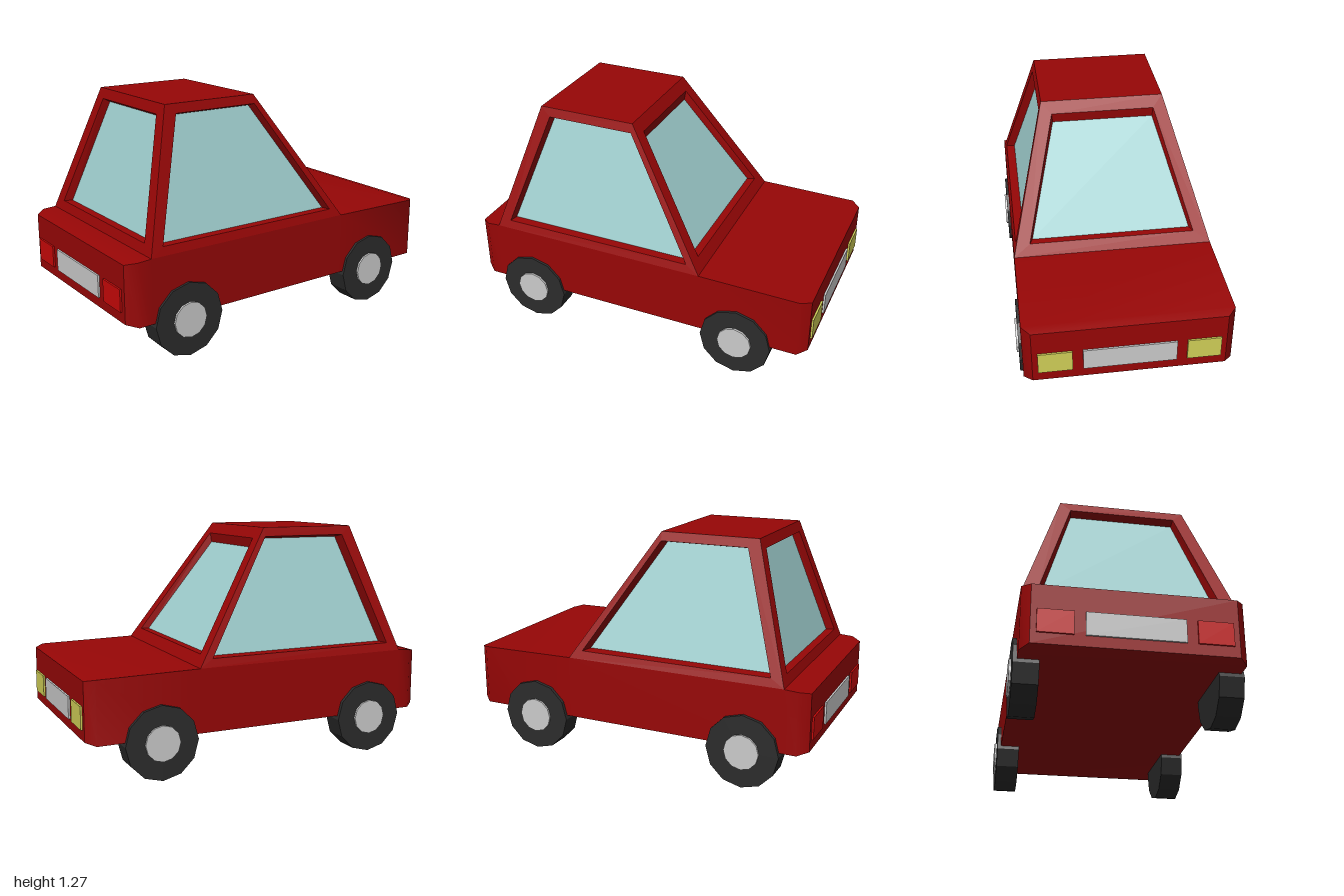
import * as THREE from 'three';
import { toCreasedNormals } from 'three/addons/utils/BufferGeometryUtils.js';

const mat = (color, flatShading = true) => new THREE.MeshStandardMaterial({ color, flatShading });
const red = mat(0x980606), softRed = mat(0x980606, false), glass = mat(0xa0cfcf);
const tyreMat = mat(0x2c2c2c), grey = mat(0xcccccc), yellow = mat(0xd2d058), tailRed = mat(0xc80808);

// Corner loops run bottom-left, bottom-right, top-right, top-left as seen from outside.
const strip = (outer, inner) => outer.map((p, i) => {
  const j = (i + 1) % outer.length;
  return [p, outer[j], inner[j], inner[i]];
});

function quadMesh(name, quads, material) {
  const pos = quads.flatMap(([a, b, c, d]) => [a, b, c, a, c, d].flat());
  const geo = new THREE.BufferGeometry();
  geo.setAttribute('position', new THREE.Float32BufferAttribute(pos, 3));
  geo.computeVertexNormals();
  const mesh = new THREE.Mesh(geo, material);
  mesh.name = name;
  return mesh;
}

// One cabin wall: frame around the opening, recessed reveal and pane
function wall(name, face, hole, pane) {
  const g = new THREE.Group();
  g.name = name;
  g.add(quadMesh(name + 'Frame', [...strip(face, hole), ...strip(hole, pane)], red));
  g.add(quadMesh(name + 'Glass', [pane], glass));
  return g;
}

function box(name, material, size, at) {
  const m = new THREE.Mesh(new THREE.BoxGeometry(...size), material);
  m.name = name;
  m.position.set(...at);
  return m;
}

// Lower body: rectangular sections swept along x, narrowed at both ends, corners softly shaded
function lowerBody() {
  const sections = [ // x, bottom, top, half width
    [-0.99, 0.235, 0.547, 0.505], [-0.935, 0.22, 0.56, 0.55], [-0.86, 0.22, 0.565, 0.55],
    [0.38, 0.22, 0.565, 0.55], [0.94, 0.22, 0.558, 0.55], [0.99, 0.235, 0.547, 0.505],
  ];
  const rings = sections.map(([x, b, t, w]) => [[x, b, w], [x, b, -w], [x, t, -w], [x, t, w]]);
  const quads = [rings[rings.length - 1], [...rings[0]].reverse()];
  for (let i = 1; i < rings.length; i++) quads.push(...strip(rings[i - 1], rings[i]));
  const mesh = quadMesh('lowerBody', quads, softRed);
  mesh.geometry = toCreasedNormals(mesh.geometry, 0.78);
  return mesh;
}

function cabin() {
  const g = new THREE.Group();
  g.name = 'cabin';
  const yb = 0.565, yt = 1.27, wb = 0.55, wt = 0.34;
  const rb = -0.86, rt = -0.64, fb = 0.38, ft = -0.09;

  // Points on the outer cabin planes at a given height
  const lerp = (a, b, y) => a + (b - a) * (y - yb) / (yt - yb);
  const sideZ = (y) => lerp(wb, wt, y);
  const frontX = (y) => lerp(fb, ft, y);
  const rearX = (y) => lerp(rb, rt, y);

  // Side windows
  const sideLoop = (x0, x1, x2, x3, y0, y1, inset) => [
    [x0, y0, sideZ(y0) - inset], [x1, y0, sideZ(y0) - inset],
    [x2, y1, sideZ(y1) - inset], [x3, y1, sideZ(y1) - inset]];
  const sideLoops = (inset) => [
    sideLoop(rb, fb, ft, rt, yb, yt, 0),
    sideLoop(-0.784, 0.303, -0.093, -0.583, 0.61, 1.221, 0),
    sideLoop(-0.775, 0.29, -0.1, -0.577, 0.61, 1.207, inset)];
  const mirror = (loop) => loop.map(([x, y, z]) => [x, y, -z]).reverse();
  g.add(wall('rightSide', ...sideLoops(0.05)), wall('leftSide', ...sideLoops(0.072).map(mirror)));

  // Windscreen and rear window
  const endLoop = (xAt, s, y0, y1, w0, w1, inset) => [
    [xAt(y0) - s * inset, y0, s * w0], [xAt(y0) - s * inset, y0, -s * w0],
    [xAt(y1) - s * inset, y1, -s * w1], [xAt(y1) - s * inset, y1, s * w1]];
  g.add(wall('windscreen',
    endLoop(frontX, 1, yb, yt, wb, wt, 0),
    endLoop(frontX, 1, 0.623, 1.21, 0.459, 0.285, 0),
    endLoop(frontX, 1, 0.623, 1.157, 0.442, 0.28, 0.042)));
  g.add(wall('rearWindow',
    endLoop(rearX, -1, yb, yt, wb, wt, 0),
    endLoop(rearX, -1, 0.617, 1.215, 0.459, 0.285, 0),
    endLoop(rearX, -1, 0.617, 1.195, 0.44, 0.28, 0.045)));

  g.add(quadMesh('roof', [[[rt, yt, wt], [ft, yt, wt], [ft, yt, -wt], [rt, yt, -wt]]], red));
  return g;
}

function wheel(name, x, side) {
  const g = new THREE.Group();
  g.name = name;
  const tyre = new THREE.Mesh(new THREE.CylinderGeometry(0.2, 0.2, 0.128, 12).rotateX(Math.PI / 2), tyreMat);
  tyre.name = 'tyre';
  tyre.position.z = side * 0.503;
  const hub = new THREE.Mesh(new THREE.CylinderGeometry(0.096, 0.096, 0.08, 12).rotateX(Math.PI / 2), grey);
  hub.name = 'hub';
  hub.position.z = side * 0.538;
  g.add(tyre, hub);
  g.position.set(x, 0.2, 0);
  return g;
}

export function createModel() {
  const car = new THREE.Group();
  car.name = 'car';
  const shell = new THREE.Group();
  shell.name = 'bodyShell';
  shell.position.z = 0.003;
  shell.add(lowerBody(), cabin());
  car.add(shell);

  for (const [side, label] of [[1, 'Right'], [-1, 'Left']]) {
    car.add(wheel('frontWheel' + label, 0.6, side), wheel('rearWheel' + label, -0.65, side));
    shell.add(box('headlight' + label, yellow, [0.04, 0.122, 0.178], [0.98, 0.353, side * 0.387]));
    shell.add(box('tailLight' + label, tailRed, [0.04, 0.122, 0.178], [-0.98, 0.353, side * 0.387]));
  }

  // Grille and rear plate
  shell.add(box('grille', grey, [0.04, 0.122, 0.487], [0.98, 0.353, 0]));
  shell.add(box('rearPlate', grey, [0.04, 0.122, 0.487], [-0.98, 0.353, 0]));
  return car;
}
